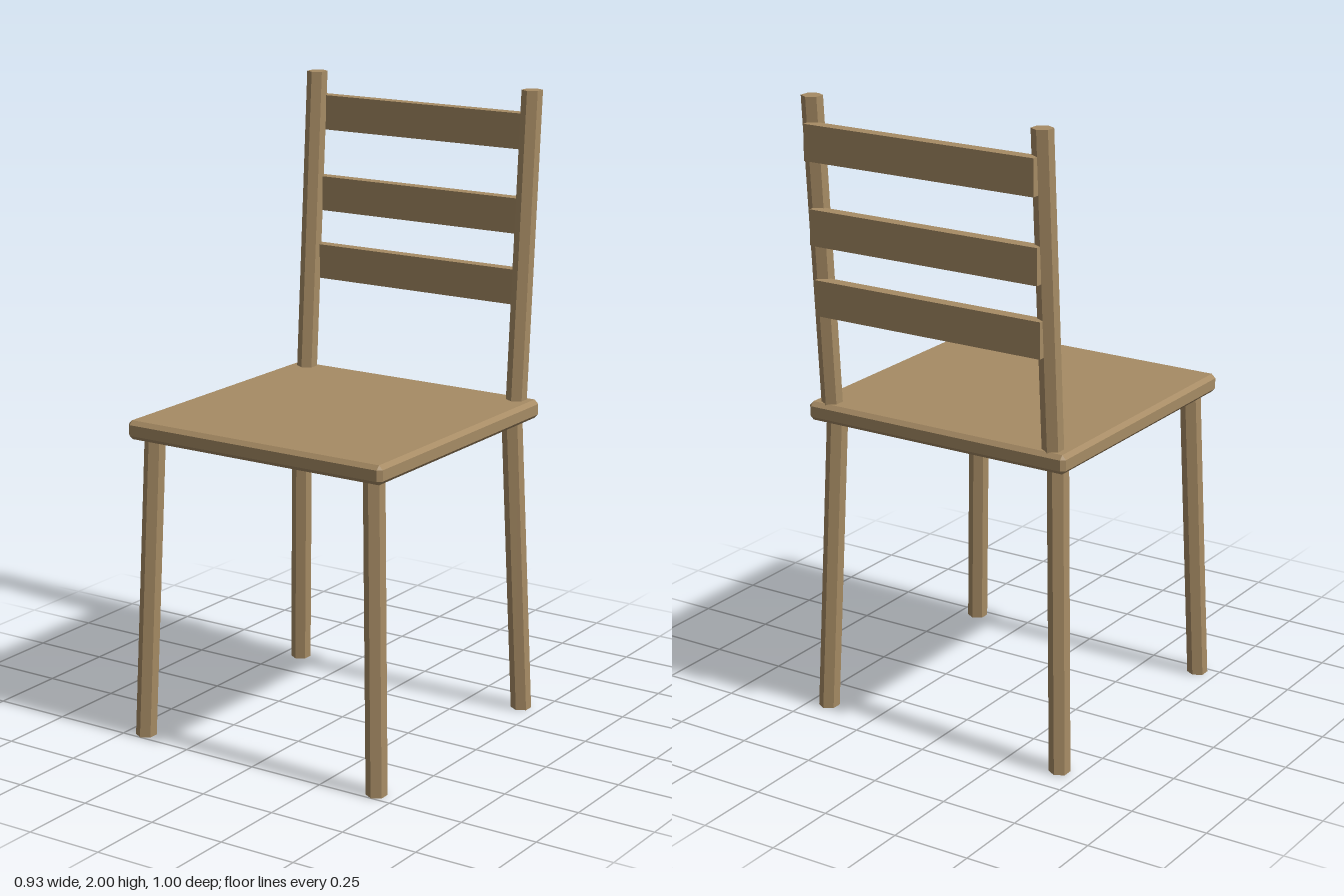
import * as THREE from 'three';
import { ConvexGeometry } from 'three/addons/geometries/ConvexGeometry.js';

const wood = new THREE.MeshStandardMaterial({ color: 0xa68b64, flatShading: true });
wood.name = 'wood';

function add(group, name, geometry) {
  const mesh = new THREE.Mesh(geometry, wood);
  mesh.name = name;
  group.add(mesh);
  return mesh;
}

// Six-sided bar with level ends, leaning from a bottom point to a top point
function leaningBar(bottom, top) {
  const [x0, y0, z0] = bottom;
  const [x1, y1, z1] = top;
  const h = y1 - y0;
  const geometry = new THREE.CylinderGeometry(0.033, 0.033, h, 6);
  const shear = new THREE.Matrix4().set(
    1, (x1 - x0) / h, 0, (x0 + x1) / 2,
    0, 1, 0, (y0 + y1) / 2,
    0, (z1 - z0) / h, 1, (z0 + z1) / 2,
    0, 0, 0, 1
  );
  return geometry.applyMatrix4(shear);
}

// Box with every edge chamfered by c
function chamferedBox(w, h, d, c) {
  const points = [];
  for (const sx of [-1, 1]) for (const sy of [-1, 1]) for (const sz of [-1, 1]) {
    const x = w / 2, y = h / 2, z = d / 2;
    points.push(
      new THREE.Vector3(sx * x, sy * (y - c), sz * (z - c)),
      new THREE.Vector3(sx * (x - c), sy * y, sz * (z - c)),
      new THREE.Vector3(sx * (x - c), sy * (y - c), sz * z)
    );
  }
  return new ConvexGeometry(points);
}

export function createModel() {
  const chair = new THREE.Group();
  chair.name = 'chair';

  // Seat board
  add(chair, 'seat', chamferedBox(0.926, 0.06, 0.928, 0.013)).position.set(0, 1, 0.034);

  // Splayed legs and the back posts, mirrored left and right
  for (const [side, s] of [['left', 1], ['right', -1]]) {
    add(chair, side + 'FrontLeg', leaningBar([s * 0.434, 0, 0.467], [s * 0.4, 1, 0.434]));
    add(chair, side + 'BackLeg', leaningBar([s * 0.434, 0, -0.394], [s * 0.4, 1, -0.36]));
    add(chair, side + 'BackPost', leaningBar([s * 0.4, 1, -0.386], [s * 0.4, 2, -0.453]));
  }

  // Back slats: centre height and depth
  [[1.38, -0.442], [1.603, -0.459], [1.866, -0.479]].forEach(([y, z], i) => {
    add(chair, 'backSlat' + (i + 1), new THREE.BoxGeometry(0.8, 0.112, 0.04)).position.set(0, y, z);
  });

  return chair;
}
